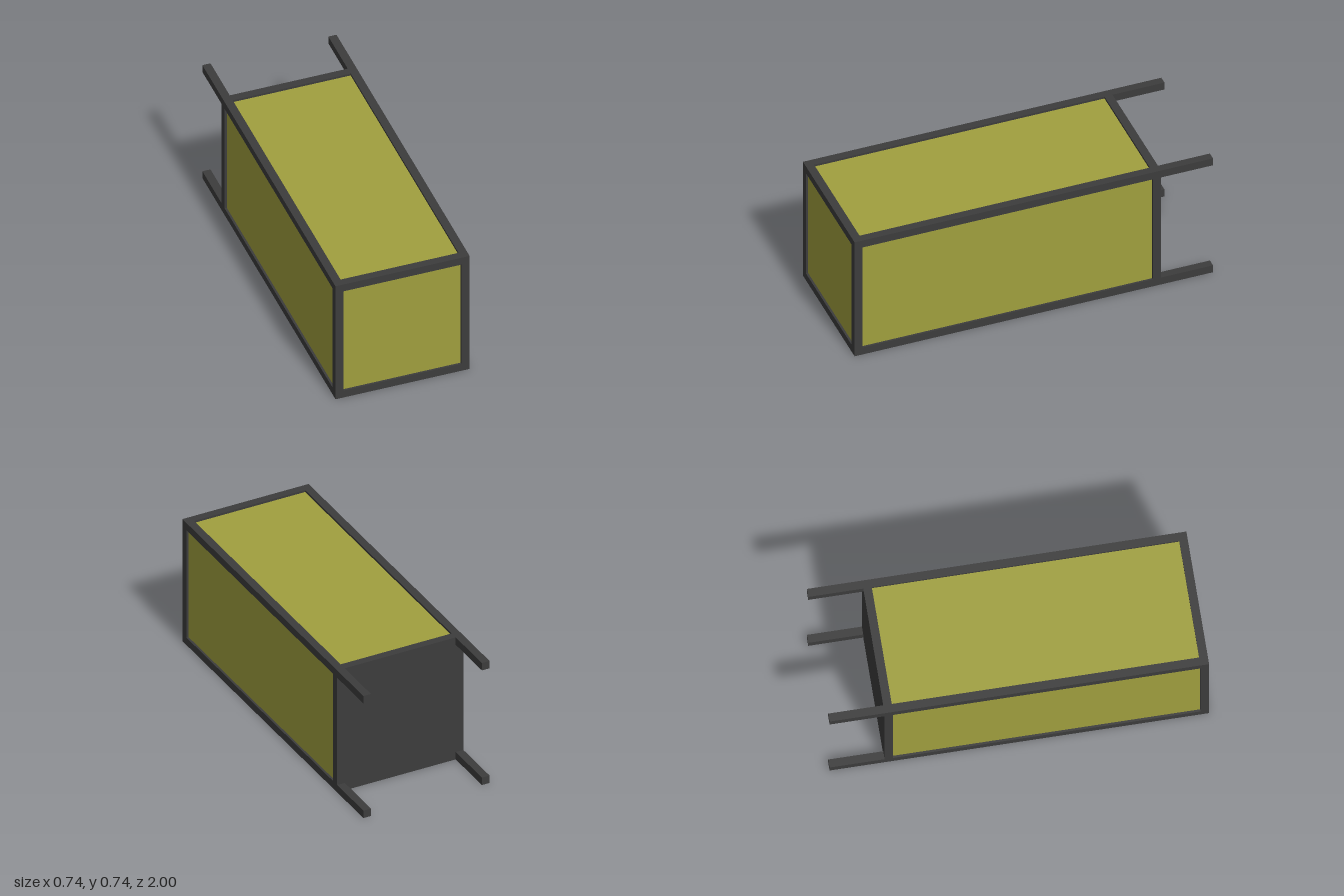
import * as THREE from 'three';

export function createModel() {
  const model = new THREE.Group();
  const dark = new THREE.MeshStandardMaterial({ color: 0x3c3c3c });
  const yellow = new THREE.MeshStandardMaterial({ color: 0xa09f3e });

  const W = 0.744, T = 0.045;          // outer width and height, bar thickness
  const inner = W - 2 * T, half = (W - T) / 2;
  const frontZ = 1, backZ = -0.71;     // ends of the enclosed body
  const recess = 0.012;                // panels sit slightly inside the frame

  const add = (name, geometry, material, x, y, z) => {
    const mesh = new THREE.Mesh(geometry, material);
    mesh.name = name;
    mesh.position.set(x, y + W / 2, z);
    model.add(mesh);
  };

  // Four long corner rails, running past the back plate as legs
  for (const x of [-half, half])
    for (const y of [-half, half])
      add('cornerRail', new THREE.BoxGeometry(T, T, 2), dark, x, y, 0);

  // Front frame bars between the rails
  for (const s of [-half, half]) {
    add('frontCrossbar', new THREE.BoxGeometry(inner, T, T), dark, 0, s, frontZ - T / 2);
    add('frontUpright', new THREE.BoxGeometry(T, inner, T), dark, s, 0, frontZ - T / 2);
  }

  // Back plate, notched at the corners around the rails
  const a = W / 2, b = inner / 2;
  const outline = [[-b, -a], [b, -a], [b, -b], [a, -b], [a, b], [b, b],
    [b, a], [-b, a], [-b, b], [-a, b], [-a, -b], [-b, -b]];
  const plate = new THREE.Shape(outline.map(([x, y]) => new THREE.Vector2(x, y)));
  add('backPlate', new THREE.ExtrudeGeometry(plate, { depth: T, bevelEnabled: false }),
    dark, 0, 0, backZ);

  // Recessed panel body seen through the frame openings
  const z0 = backZ + T / 2, z1 = frontZ - recess;
  add('panelBody', new THREE.BoxGeometry(W - 2 * recess, W - 2 * recess, z1 - z0),
    yellow, 0, 0, (z0 + z1) / 2);

  return model;
}
